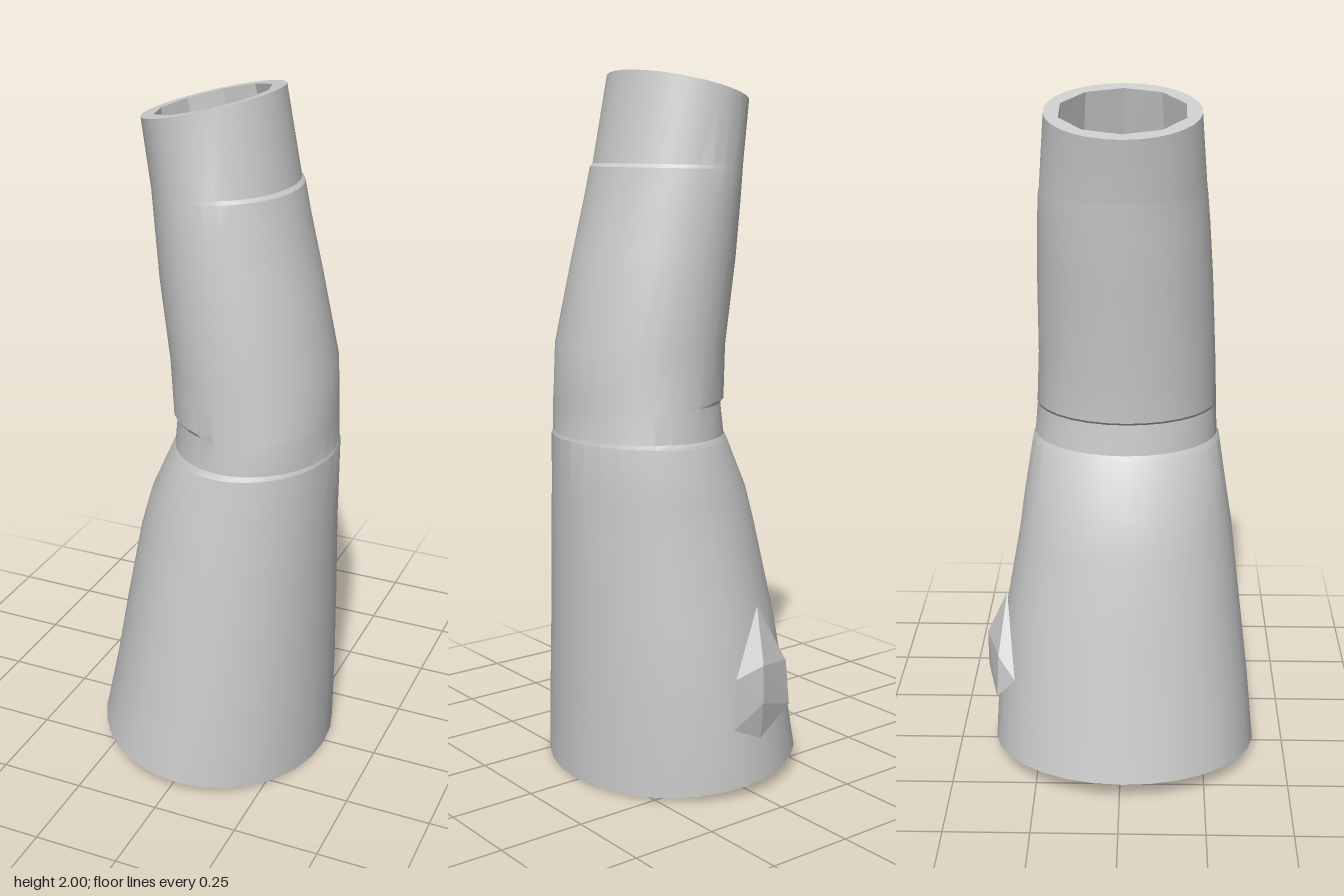
import * as THREE from 'three';
import { toCreasedNormals } from 'three/addons/utils/BufferGeometryUtils.js';
import { ConvexGeometry } from 'three/addons/geometries/ConvexGeometry.js';

const SIDES = 30;
const INNER_SIDES = 10; // the inside wall is coarser than the outside

// Cross-sections from bottom to top: [xLeftEdge, y there, xRightEdge, y there, zFront, zBack]
const SECTIONS = [
  [-0.353, 0.065, 0.34, 0.0, 0.407, -0.388],
  [-0.31, 0.27, 0.34, 0.25, 0.385, -0.375],
  [-0.275, 0.47, 0.34, 0.47, 0.36, -0.35],
  [-0.225, 0.72, 0.341, 0.72, 0.33, -0.305],
  [-0.195, 0.83, 0.342, 0.83, 0.312, -0.29],
  [-0.128, 0.98, 0.343, 0.99, 0.288, -0.265],
  [-0.117, 1.0, 0.34, 1.0, 0.28, -0.258],
  [-0.108, 1.09, 0.338, 1.09, 0.276, -0.25],
  [-0.122, 1.1, 0.338, 1.1, 0.276, -0.25],
  [-0.132, 1.25, 0.333, 1.25, 0.27, -0.243],
  [-0.165, 1.49, 0.277, 1.49, 0.257, -0.24],
  [-0.18, 1.65, 0.237, 1.65, 0.245, -0.235],
  [-0.188, 1.73, 0.218, 1.74, 0.237, -0.23],
  [-0.189, 1.74, 0.208, 1.75, 0.235, -0.227],
  [-0.218, 1.91, 0.162, 2.0, 0.218, -0.21],
];

// One ring of points; a wall thickness above zero gives the coarse inner ring
function ring([xl, yl, xr, yr, zf, zb], wall) {
  const points = [];
  const seg = (2 * Math.PI) / INNER_SIDES;
  const rx = (xr - xl) / 2, rz = (zf - zb) / 2;
  for (let i = 0; i < SIDES; i++) {
    const a = (i / SIDES) * 2 * Math.PI;
    const k = wall ? Math.cos(seg / 2) / Math.cos((a % seg) - seg / 2) : 1;
    const x = (xl + xr) / 2 + Math.cos(a) * (rx - wall) * k;
    const z = (zf + zb) / 2 + Math.sin(a) * (rz - wall) * k;
    points.push(x, yl + ((yr - yl) * (x - xl)) / (xr - xl), z);
  }
  return points;
}

// Joins a list of rings into a skin; a closed list also joins last to first
function skin(rings) {
  const index = [];
  for (let r = 0; r < rings.length; r++) {
    const next = (r + 1) % rings.length;
    for (let i = 0; i < SIDES; i++) {
      const j = (i + 1) % SIDES;
      const a = r * SIDES + i, b = r * SIDES + j;
      const c = next * SIDES + i, d = next * SIDES + j;
      index.push(a, c, b, b, c, d);
    }
  }
  const geometry = new THREE.BufferGeometry();
  geometry.setAttribute('position', new THREE.Float32BufferAttribute(rings.flat(), 3));
  geometry.setIndex(index);
  return toCreasedNormals(geometry, 0.3);
}

export function createModel() {
  const group = new THREE.Group();
  group.name = 'bentSleeve';
  const material = new THREE.MeshStandardMaterial({ color: 0xcccccc });

  // Hollow tapered sleeve: up the outside, over the rim, down the inside
  const outer = SECTIONS.map((s) => ring(s, 0));
  const inner = SECTIONS.filter((s, i) => [0, 2, 5, 9, 11, 14].includes(i))
    .map((s, i) => ring(s, i === 0 ? 0.015 : 0.035))
    .reverse();
  const sleeve = new THREE.Mesh(skin([...outer, ...inner]), material);
  sleeve.name = 'sleeve';
  group.add(sleeve);

  // Faceted fold standing out low on the back
  const fold = new THREE.Mesh(
    new ConvexGeometry(
      [
        [-0.01, 0.38, -0.407], [-0.01, 0.27, -0.407],
        [-0.13, 0.36, -0.365], [-0.14, 0.23, -0.37],
        [0.07, 0.35, -0.385], [0.07, 0.2, -0.378],
        [-0.04, 0.53, -0.342], [-0.02, 0.16, -0.385],
        [-0.165, 0.3, -0.315], [0.02, 0.35, -0.35],
      ].map((p) => new THREE.Vector3(...p))
    ),
    material
  );
  fold.name = 'backFold';
  group.add(fold);

  return group;
}
